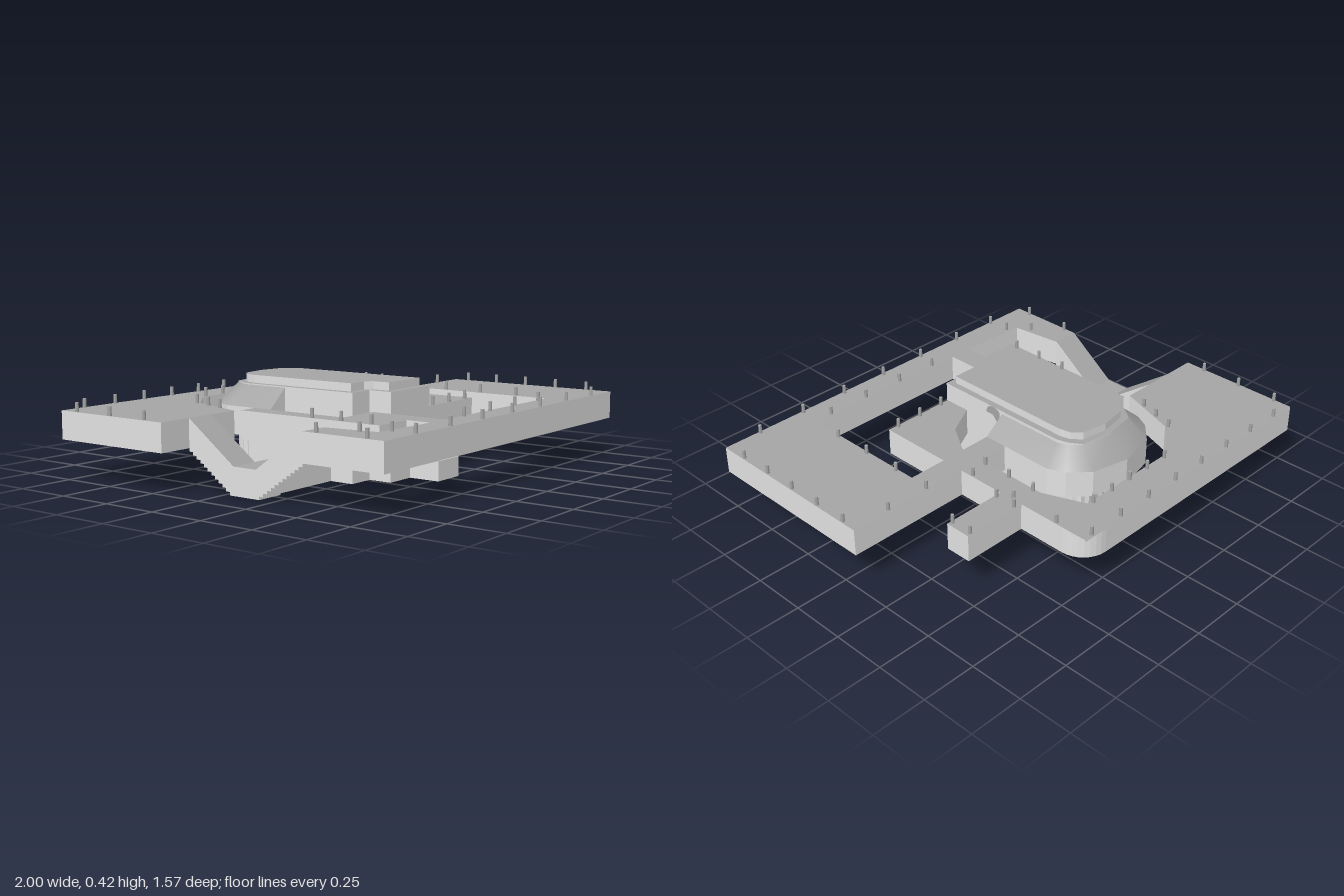
import * as THREE from 'three';

const material = (name, color) => {
  const m = new THREE.MeshStandardMaterial({ color });
  m.name = name;
  return m;
};
const deckMat = material('mid grey deck', 0xa5a5a5);
const wallMat = material('light grey wall', 0xe1e1e1);
const underMat = material('grey underside', 0xc6c6c6);

const DECK0 = 0.17, DECK1 = 0.295;

export function createModel() {
  const model = new THREE.Group();
  model.name = 'elevatedComplex';

  const add = (name, geo, mat) => {
    const mesh = new THREE.Mesh(geo, mat);
    mesh.name = name;
    model.add(mesh);
    return mesh;
  };

  // Prism over a ground plan of [x, z] points: separate underside, top and sides
  const slab = (name, plan, y0 = DECK0, y1 = DECK1, mats = [underMat, deckMat, wallMat]) => {
    const shape = new THREE.Shape(plan.map(([x, z]) => new THREE.Vector2(x, -z)));
    const geo = new THREE.ExtrudeGeometry(shape, { depth: y1 - y0, bevelEnabled: false });
    const [lids, sides] = geo.groups.map((g) => g.count);
    geo.clearGroups();
    geo.addGroup(0, lids / 2, 0);
    geo.addGroup(lids / 2, lids / 2, 1);
    geo.addGroup(lids, sides, 2);
    geo.rotateX(-Math.PI / 2).translate(0, y0, 0);
    return add(name, geo, mats);
  };
  const rect = (x0, x1, z0, z1) => [[x0, z0], [x1, z0], [x1, z1], [x0, z1]];

  // Faces from a list of points and triangle indices
  const faces = (pts, index) => {
    const g = new THREE.BufferGeometry();
    g.setAttribute('position', new THREE.Float32BufferAttribute(pts.flat(), 3));
    g.setIndex(index);
    g.computeVertexNormals();
    return g;
  };

  // Back deck with a rounded corner below a sharp thin plate
  const corner = [];
  for (let i = 0; i <= 8; i++) {
    const a = (i / 8) * Math.PI / 2;
    corner.push([0.282 + 0.125 * Math.sin(a), -0.66 - 0.125 * Math.cos(a)]);
  }
  slab('backDeck', [[-1, -0.785], ...corner, [0.407, -0.08], [0.292, -0.08], [0.292, -0.435],
    [0.215, -0.623], [-0.3, -0.623], [-0.47, -0.48], [-0.565, -0.195], [-1, -0.195]]);
  slab('cornerPlate', [[0.282, -0.785], [0.407, -0.785], [0.407, -0.66]], 0.287, DECK1);
  slab('spurDeck', rect(0.407, 0.71, -0.433, -0.313));

  // Deck running around the +x side and the front
  slab('frontDeck', [[0.145, -0.08], [1, -0.08], [1, 0.783], [-0.84, 0.783], [-0.84, 0.4],
    [-0.71, 0.4], [-0.68, 0.643], [-0.355, 0.663], [0.59, 0.663], [0.59, 0.03], [0.145, 0.03]]);

  // Terraces beside the central building
  slab('rightTerrace', [[-0.54, -0.18], [-0.45, -0.18], [-0.45, 0.3], [-0.247, 0.3],
    [-0.247, 0.663], [-0.355, 0.663], [-0.355, 0.547], [-0.54, 0.547]]);
  slab('leftTerrace', [[0.292, 0.03], [0.407, 0.03], [0.407, 0.383], [0.05, 0.383],
    [0.05, 0.255], [0.2, 0.175]]);

  // Central building with a rounded back, fluted at the lower level
  const back = [[-0.355, -0.3], [-0.34, -0.35], [-0.3, -0.405], [-0.15, -0.43],
    [0, -0.405], [0.035, -0.35], [0.05, -0.3]];
  const front = [[0.05, 0.385], [-0.235, 0.385], [-0.235, 0.275], [-0.355, 0.275]];
  const flutes = [];
  const curve = new THREE.CatmullRomCurve3(back.map(([x, z]) => new THREE.Vector3(x, 0, z)));
  curve.getSpacedPoints(28).forEach((p, i) => {
    const k = i % 2 ? 0.965 : 1;
    flutes.push([-0.1525 + (p.x + 0.1525) * k, -0.25 + (p.z + 0.25) * k]);
  });
  slab('lowerBuilding', [...flutes, ...front], 0, DECK0);
  slab('upperBuilding', [...back, ...front], DECK0, 0.385);
  slab('roofCap', [[-0.325, -0.29], [-0.312, -0.34], [-0.275, -0.38], [-0.15, -0.4], [-0.03, -0.38],
    [0.008, -0.34], [0.02, -0.29], [0.02, 0.355], [-0.205, 0.355], [-0.205, 0.275],
    [-0.235, 0.245], [-0.325, 0.245]], 0.385, 0.42);

  // Ring under the sloping hood
  const outer = [[-0.45, -0.09], [-0.45, -0.34], [-0.415, -0.41], [-0.33, -0.49], [-0.15, -0.53],
    [0.025, -0.49], [0.11, -0.41], [0.145, -0.33], [0.145, 0.03]];
  const inner = [[-0.353, -0.09], [-0.353, -0.3], [-0.338, -0.35], [-0.3, -0.403], [-0.15, -0.428],
    [0, -0.403], [0.033, -0.35], [0.048, -0.3], [0.048, 0.03]];
  slab('hoodBase', [...outer, [0, 0.03], [0, -0.09]]);

  // Sloping hood: smooth strip between the outer and inner outlines
  const low = outer.map(([x, z]) => [x, DECK1, z]);
  const high = inner.map(([x, z]) => [x, x > 0.01 ? 0.372 : 0.382, z]);
  const n = low.length;
  const strip = [];
  for (let i = 0; i < n - 1; i++) {
    strip.push(i, i + n, i + 1, i + 1, i + n, i + n + 1);
  }
  add('hood', faces([...low, ...high], strip), deckMat);

  // Closed front ends of the hood
  add('hoodEndRight', faces([low[0], [-0.353, DECK1, -0.09], high[0]], [0, 1, 2]), wallMat);
  add('hoodEndLeft', faces([[0.048, DECK1, 0.03], low[n - 1], high[n - 1]], [0, 1, 2]), wallMat);

  // Arched opening on the +x wall, as a thin plate
  const arch = new THREE.Shape();
  arch.moveTo(-0.06, 0.318);
  arch.lineTo(-0.045, 0.35);
  arch.quadraticCurveTo(-0.04, 0.385, -0.085, 0.385);
  arch.quadraticCurveTo(-0.125, 0.382, -0.125, 0.345);
  arch.lineTo(-0.085, 0.345);
  const archGeo = new THREE.ExtrudeGeometry(arch, { depth: 0.004, bevelEnabled: false });
  archGeo.rotateY(Math.PI / 2).translate(0.048, 0, 0);
  add('sideOpening', archGeo, deckMat);

  // Low corridor and the two ramps, stepped below, reaching the decks
  slab('lowCorridor', rect(-0.84, -0.355, 0.045, 0.16), 0, 0.12);
  const ramp = (name, zLow, zHigh) => {
    const pts = [[zHigh, DECK1 - 0.002], [zLow, 0.118], [zLow, 0]];
    const steps = 12;
    for (let i = 1; i <= steps; i++) {
      const z = zLow + (zHigh - zLow) * (i / steps);
      pts.push([z, DECK0 * (i - 1) / steps], [z, DECK0 * i / steps]);
    }
    const shape = new THREE.Shape(pts.map(([z, y]) => new THREE.Vector2(-z, y)));
    const geo = new THREE.ExtrudeGeometry(shape, { depth: 0.13, bevelEnabled: false });
    geo.rotateY(Math.PI / 2).translate(-0.84, 0, 0);
    add(name, geo, wallMat);
    const top = [[-0.84, 0.12, zLow], [-0.84, DECK1, zHigh], [-0.71, DECK1, zHigh], [-0.71, 0.12, zLow]];
    add(name + 'Surface', faces(top, zHigh > zLow ? [0, 1, 2, 0, 2, 3] : [0, 2, 1, 0, 3, 2]), deckMat);
  };
  ramp('backRamp', 0.045, -0.195);
  ramp('frontRamp', 0.16, 0.4);

  // Low entrance block at the front
  slab('entranceStep', [[-0.09, 0.385], [-0.04, 0.385], [-0.04, 0.46], [0.067, 0.46],
    [0.067, 0.53], [-0.09, 0.53]], 0, 0.087, [underMat, wallMat, wallMat]);

  // Small posts along the deck edges
  const postGeo = new THREE.CylinderGeometry(0.0075, 0.0085, 0.04, 8).translate(0, 0.02, 0);
  const row = (x0, z0, x1, z1, count, y = DECK1) => {
    for (let i = 0; i < count; i++) {
      const t = i / (count - 1);
      add('post', postGeo, deckMat).position.set(x0 + (x1 - x0) * t, y, z0 + (z1 - z0) * t);
    }
  };
  row(-0.88, -0.775, 0.36, -0.775, 8);
  row(-0.99, -0.7, -0.99, -0.3, 3);
  row(-0.27, -0.635, 0.19, -0.635, 5);
  row(-0.54, -0.3, -0.48, -0.49, 3);
  row(0.302, -0.4, 0.302, -0.12, 3);
  row(0.397, -0.62, 0.397, -0.14, 3);
  row(0.44, -0.423, 0.69, -0.423, 2);
  row(0.44, -0.323, 0.69, -0.323, 2);
  row(-0.62, 0.773, 0.82, 0.773, 7);
  row(-0.12, 0.673, 0.5, 0.673, 4);
  row(0.99, 0, 0.99, 0.66, 5);
  row(0.6, 0.12, 0.6, 0.5, 3);
  row(0.6, -0.07, 0.81, -0.07, 2);
  row(-0.83, 0.46, -0.83, 0.7, 2);
  row(-0.715, 0.58, -0.63, 0.67, 2);
  row(0.1, 0.373, 0.36, 0.373, 3);
  row(-0.53, 0.2, -0.53, 0.5, 3);
  row(-0.65, 0.15, -0.45, 0.15, 3, 0.12);

  return model;
}
